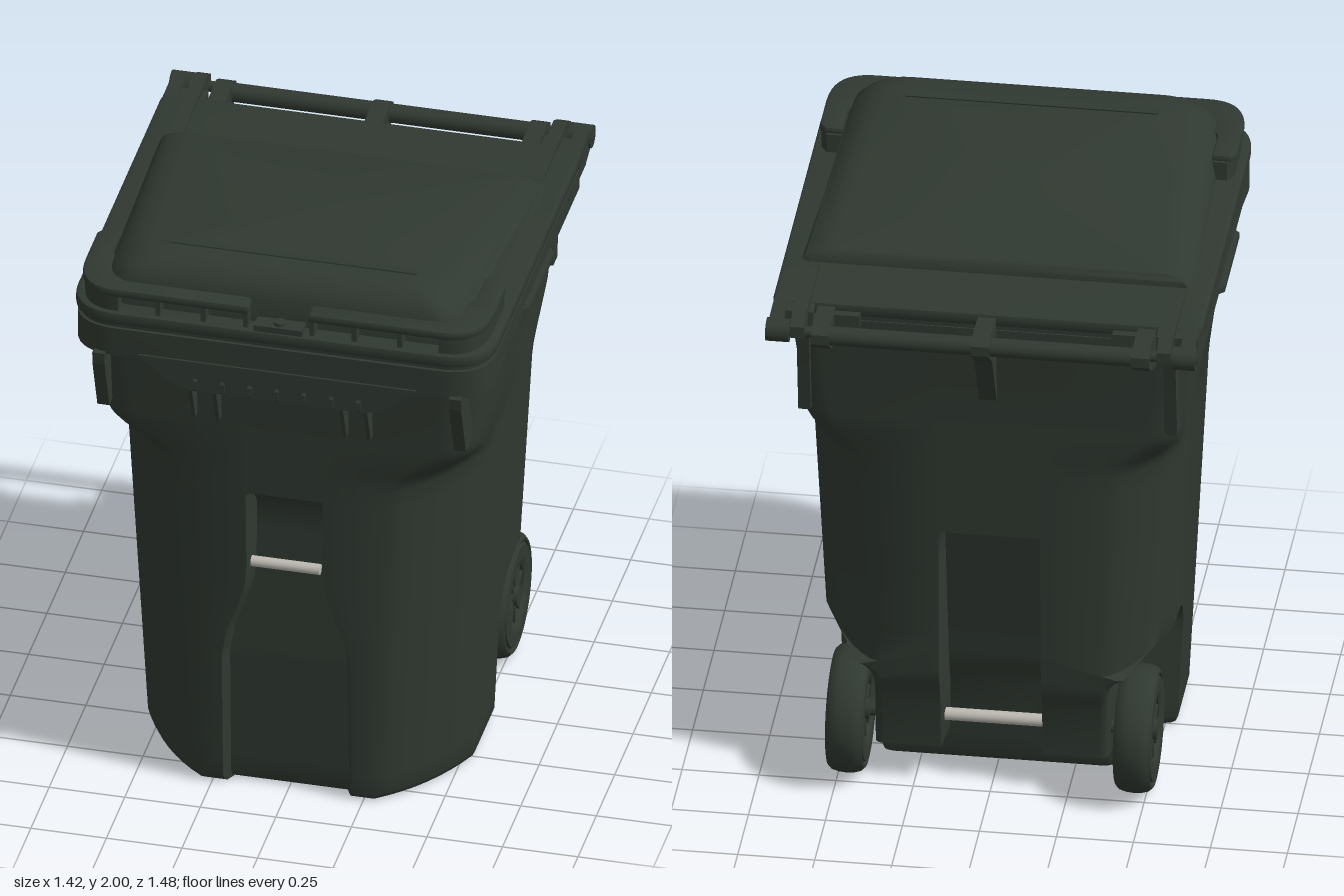
import * as THREE from 'three';
import { toCreasedNormals } from 'three/addons/utils/BufferGeometryUtils.js';

const green = new THREE.MeshStandardMaterial({ color: 0x303931 });
green.name = 'dark green plastic';
const metal = new THREE.MeshStandardMaterial({ color: 0xbdbab3 });
metal.name = 'bare metal';

// Piecewise linear lookup through [key, value] pairs
function at(y, table) {
  if (y <= table[0][0]) return table[0][1];
  for (let i = 1; i < table.length; i++) {
    const [a, va] = table[i - 1], [b, vb] = table[i];
    if (y <= b) return va + (vb - va) * (y - a) / (b - a);
  }
  return table[table.length - 1][1];
}

// Corner between two [x, z] points: k = 0 is a straight chamfer, 1 a full curve
function corner(p, c, q, k, n = 8) {
  const out = [];
  for (let i = 0; i <= n; i++) {
    const t = i / n;
    out.push([0, 1].map(j => {
      const chord = p[j] + (q[j] - p[j]) * t;
      const curve = (1 - t) ** 2 * p[j] + 2 * t * (1 - t) * c[j] + t * t * q[j];
      return chord + (curve - chord) * k;
    }));
  }
  return out;
}

// Half outline from front centre to back centre, mirrored into a full ring
const mirrorRing = half => [...half, ...half.slice(1, -1).reverse().map(([x, ...r]) => [-x, ...r])];

// Skin over rings of [x, y, z] points, with optional end caps
function loft(rings, capBottom, capTop, crease) {
  const n = rings[0].length, pos = rings.flat(2), idx = [];
  for (let j = 0; j < rings.length - 1; j++) for (let i = 0; i < n; i++) {
    const k = (i + 1) % n, a = j * n + i, b = j * n + k;
    idx.push(a, b, b + n, a, b + n, a + n);
  }
  const cap = (centre, row, flip) => {
    const c = pos.length / 3;
    pos.push(...centre);
    for (let i = 0; i < n; i++) {
      const a = row * n + i, b = row * n + (i + 1) % n;
      idx.push(c, flip ? b : a, flip ? a : b);
    }
  };
  if (capBottom) cap(capBottom, 0, true);
  if (capTop) cap(capTop, rings.length - 1, false);
  const g = new THREE.BufferGeometry();
  g.setAttribute('position', new THREE.Float32BufferAttribute(pos, 3));
  g.setIndex(idx);
  return toCreasedNormals(g, crease);
}

// Horizontal slab from an [x, z] outline
function slab(points, y0, y1, bevel = 0) {
  const g = new THREE.ExtrudeGeometry(new THREE.Shape(points.map(p => new THREE.Vector2(...p))), {
    depth: y1 - y0 - 2 * bevel, bevelEnabled: bevel > 0, bevelSize: bevel, bevelOffset: -bevel,
    bevelThickness: bevel, bevelSegments: 2 });
  return toCreasedNormals(g.rotateX(Math.PI / 2).translate(0, y1 - bevel, 0), 0.6);
}

// Plate of thickness t around x, from a [z, y] profile
function plate(points, x, t) {
  const g = new THREE.ExtrudeGeometry(new THREE.Shape(points.map(p => new THREE.Vector2(...p))),
    { depth: t, bevelEnabled: false });
  return g.rotateY(-Math.PI / 2).translate(x + t / 2, 0, 0);
}

const box = (w, h, d, x, y, z) => new THREE.BoxGeometry(w, h, d).translate(x, y, z);
const rod = (r, len, x, y, z) =>
  new THREE.CylinderGeometry(r, r, len, 20).rotateZ(Math.PI / 2).translate(x, y, z);

// Plan of rim and lid: large front corners, small back corners
const plan = (hx, zb, zf, r) => mirrorRing([[0, zf],
  ...corner([hx - r, zf], [hx, zf], [hx, zf - r], 1, 10), [hx, 0.42],
  ...corner([hx, zb + 0.03], [hx, zb], [hx - 0.03, zb], 1, 3), [0, zb]]);

// Body outline at height y, with front recess, wheel wells and rear recess
function bodyRing(y) {
  const { smoothstep, clamp } = THREE.MathUtils;
  const hx = at(y, [[0, 0.54], [1.42, 0.608], [1.72, 0.645]]);
  const zf = at(y, [[0, 0.59], [1.42, 0.645], [1.72, 0.665]]);
  const zb = at(y, [[0, -0.31], [0.1, -0.315], [0.13, -0.46], [0.3, -0.47], [0.4, -0.5], [1.42, -0.54], [1.72, -0.565]]);
  const s = smoothstep(y, 1.22, 1.42), mix = (a, b) => a + (b - a) * s;
  const w = at(y, [[0.5, 0.195], [0.6, 0.178], [0.7, 0.14], [0.78, 0.117], [0.86, 0.11]]);
  const d = at(y, [[0, 0.035], [0.5, 0.04], [0.8, 0.06], [1.07, 0.08], [1.14, 0.03], [1.15, 0]]);
  const rd = at(y, [[0.1, 0], [0.13, 0.14], [0.3, 0.15], [0.52, 0.13], [0.96, 0.07], [0.975, 0]]);
  const well = y <= 0.52;
  const arch = clamp((y - 0.36) / 0.16, 0, 1);
  const zw = -0.17 * (1 - Math.sqrt(1 - arch * arch));
  const bx = well ? 0.38 + 0.06 * arch ** 3 : hx;
  const bax = well ? 0.03 : mix(0.21, 0.09), baz = well ? 0.03 : mix(0.25, 0.09);
  const half = [[0, zf - d], [w, zf - d], [w + 0.018, zf],
    ...corner([hx - mix(0.25, 0.11), zf], [hx, zf], [hx, zf - mix(0.33, 0.11)], mix(0.3, 1)),
    [hx, zw], [bx, zw - 0.045],
    ...corner([bx, zb + baz], [bx, zb], [bx - bax, zb], well ? 1 : mix(0.4, 1)),
    [0.165, zb], [0.153, zb + rd], [0, zb + rd]];
  const k = at(y, [[0, 0.955], [0.01, 0.985], [0.03, 1]]);
  // The top of each wheel well droops toward the back
  const droop = at(y, [[0.36, 0], [0.52, 0.07], [0.75, 0]]);
  return mirrorRing(half).map(([x, z]) => [x * k,
    y - droop * smoothstep(-z, 0.28, 0.52) * smoothstep(Math.abs(x), 0.17, 0.4), (z - 0.14) * k + 0.14]);
}

export function createModel() {
  const root = new THREE.Group();
  root.name = 'wheeledBin';
  const add = (name, geometry, material = green, parent = root) => {
    const m = new THREE.Mesh(geometry, material);
    m.name = name;
    parent.add(m);
  };

  // Body
  const rows = [0, 0.01, 0.03, 0.1, 0.13, 0.3, 0.36, 0.4, 0.44, 0.47, 0.495, 0.51, 0.52, 0.523, 0.6, 0.65, 0.7, 0.74,
    0.78, 0.86, 0.96, 0.975, 1.07, 1.14, 1.15, 1.22, 1.25, 1.28, 1.31, 1.34, 1.37, 1.4, 1.42, 1.56, 1.72];
  add('body', loft(rows.map(bodyRing), [0, 0, 0.14], null, 0.75));
  add('frontLiftBar', rod(0.018, 0.228, 0, 0.877, 0.61), metal);

  // Rim, deeper around the front corners
  const rim = slab(plan(0.692, -0.57, 0.728, 0.16), 1.705, 1.775);
  const p = rim.attributes.position;
  for (let i = 0; i < p.count; i++)
    if (p.getY(i) < 1.72) p.setY(i, 1.705 - 0.033 * THREE.MathUtils.smoothstep(p.getZ(i), 0.42, 0.6));
  add('rim', rim);
  add('rimSeam', slab(plan(0.682, -0.565, 0.717, 0.15), 1.77, 1.795));
  add('lidPlate', slab(plan(0.697, -0.575, 0.732, 0.165), 1.79, 1.835, 0.01));

  // Sloping lid dome: height share, back and front half widths, back and front ends
  const domeTop = z => 1.88 + (z + 0.3) * 0.1364;
  const dome = [[0, 0.64, 0.6, -0.325, 0.67], [0.5, 0.625, 0.585, -0.322, 0.665], [0.72, 0.6, 0.555, -0.315, 0.64],
    [0.9, 0.57, 0.515, -0.31, 0.61], [1, 0.54, 0.465, -0.3, 0.575]].map(([h, wb, wf, zb, zf]) =>
    mirrorRing([[0, zf], ...corner([wf - 0.1, zf], [wf, zf], [wf + 0.008, zf - 0.12], 1),
      [wb, zb + 0.02], [wb - 0.02, zb], [0, zb]]).map(([x, z]) => [x, 1.83 + (domeTop(z) - 1.83) * h, z]));
  add('lidDome', loft(dome, null, [0, domeTop(0.1), 0.1], 0.7));
  add('lidStrip', new THREE.BoxGeometry(0.82, 0.009, 0.034).rotateX(-0.1355).translate(0, domeTop(0.502), 0.502));

  // Raised lips around the lid's front corners, with grip pockets and ribs at the front
  for (const s of [-1, 1]) {
    const lip = (o, i, x0, end) => [[x0, o], ...corner([0.54, o], [o - 0.045, o], [o - 0.045, 0.55], 1, 10),
      [o - 0.045, end + 0.03], [o - 0.065, end], [i - 0.02, end], [i - 0.02, 0.5], [0.5, i], [x0, i]].map(([x, z]) => [s * x, z]);
    add('lidLip', slab(lip(0.722, 0.62, 0.1, 0.37), 1.888, 1.92, 0.01));
    add('lidLipCorner', slab(lip(0.715, 0.61, 0.53, 0.36), 1.825, 1.9));
    add('gripPocketWall', box(0.42, 0.07, 0.03, s * 0.33, 1.86, 0.645));
    for (const x of [0.11, 0.25, 0.4])
      add('gripRib', box(0.016, 0.07, 0.075, s * x, 1.86, 0.675));
  }
  add('lidFrontTab', box(0.16, 0.03, 0.07, 0, 1.84, 0.69));
  add('tabButton', new THREE.CylinderGeometry(0.02, 0.02, 0.012, 16).translate(0, 1.858, 0.695));

  // Front apron below the rim, with small stiffeners
  const apron = new THREE.Shape([[-0.46, 1.69], [-0.36, 1.605], [-0.29, 1.58], [0.29, 1.58], [0.36, 1.605], [0.46, 1.69]]
    .map(q => new THREE.Vector2(...q)));
  add('frontApron', new THREE.ExtrudeGeometry(apron, { depth: 0.085, bevelEnabled: false }).translate(0, 0, 0.65));
  for (let i = -3; i <= 3; i++)
    add('apronStiffener', plate([[0.733, 1.63], [0.742, 1.62], [0.742, 1.59], [0.733, 1.58]], i * 0.09, 0.014));

  for (const s of [-1, 1]) {
    // Tapered ribs under the apron and lugs under the front corners
    for (const x of [0.21, 0.29])
      add('apronRib', plate([[0.63, 1.6], [0.735, 1.6], [0.675, 1.44], [0.63, 1.44]], s * x, 0.012));
    add('cornerLug', plate([[0.55, 1.69], [0.74, 1.68], [0.738, 1.64], [0.67, 1.44], [0.59, 1.44]], s * 0.59, 0.04));
    add('sideLug', slab([[0.68, 0.25], [0.71, 0.22], [0.71, -0.12], [0.68, -0.15]].map(([x, z]) => [s * x, z]), 1.708, 1.728));

    // Hinge arms, knobs and brackets
    add('hingeArm', plate([[-0.33, 1.83], [-0.36, 1.845], [-0.68, 1.857], [-0.73, 1.83], [-0.73, 1.79], [-0.6, 1.79]],
      s * 0.595, 0.045));
    add('hingeBlock', box(0.135, 0.09, 0.09, s * 0.625, 1.785, -0.585));
    add('hingeEar', plate([[-0.56, 1.74], [-0.64, 1.74], [-0.71, 1.765], [-0.735, 1.8], [-0.71, 1.838], [-0.56, 1.835]],
      s * 0.668, 0.045));
    add('hingeKnob', rod(0.038, 0.075, s * 0.66, 1.8, -0.702));
    add('hingePin', rod(0.018, 0.2, s * 0.6, 1.8, -0.702));
    add('handleFoot', box(0.14, 0.05, 0.035, s * 0.48, 1.785, -0.585));
    add('rearGusset', plate([[-0.5, 1.78], [-0.6, 1.74], [-0.58, 1.6], [-0.555, 1.42], [-0.5, 1.42]], s * 0.595, 0.04));
    add('handleSideStrut', plate([[-0.5, 1.82], [-0.7, 1.83], [-0.738, 1.81], [-0.738, 1.775], [-0.68, 1.73],
      [-0.56, 1.68], [-0.5, 1.68]], s * 0.52, 0.058));
  }

  // Rear handle and its central strut
  add('rearHandle', rod(0.031, 1.08, 0, 1.79, -0.7));
  add('handleCentreStrut', plate([[-0.5, 1.82], [-0.7, 1.83], [-0.738, 1.81], [-0.738, 1.775], [-0.66, 1.71],
    [-0.585, 1.56], [-0.55, 1.5], [-0.5, 1.5]], 0, 0.058));

  // Bare axle in the rear recess, and wheels dished on both faces
  add('axle', rod(0.021, 0.33, 0, 0.215, -0.39), metal);
  const face = [[0.208, 0.025], [0.202, 0.046], [0.19, 0.058], [0.182, 0.058], [0.178, 0.052], [0.172, 0.052],
    [0.168, 0.06], [0.13, 0.062], [0.11, 0.058], [0.102, 0.052], [0.098, 0.025], [0, 0.025]];
  const tyre = [...face.map(([r, x]) => [r, -x]).reverse(), [0.21, 0], ...face].map(q => new THREE.Vector2(...q));
  const tyreGeometry = toCreasedNormals(new THREE.LatheGeometry(tyre, 48).rotateZ(-Math.PI / 2), 0.6);
  for (const s of [-1, 1]) {
    const wheel = new THREE.Group();
    wheel.name = s > 0 ? 'leftWheel' : 'rightWheel';
    wheel.position.set(s * 0.467, 0.212, -0.39);
    add('tyre', tyreGeometry, green, wheel);
    add('hub', rod(0.034, 0.126, 0, 0, 0), green, wheel);
    add('axleStub', rod(0.021, 0.08, -s * 0.07, 0, 0), green, wheel);
    for (let i = 0; i < 10; i++)
      add('spoke', box(0.1, 0.075, 0.013, 0, 0.066, 0).rotateX(i * Math.PI / 5), green, wheel);
    root.add(wheel);
  }
  return root;
}
